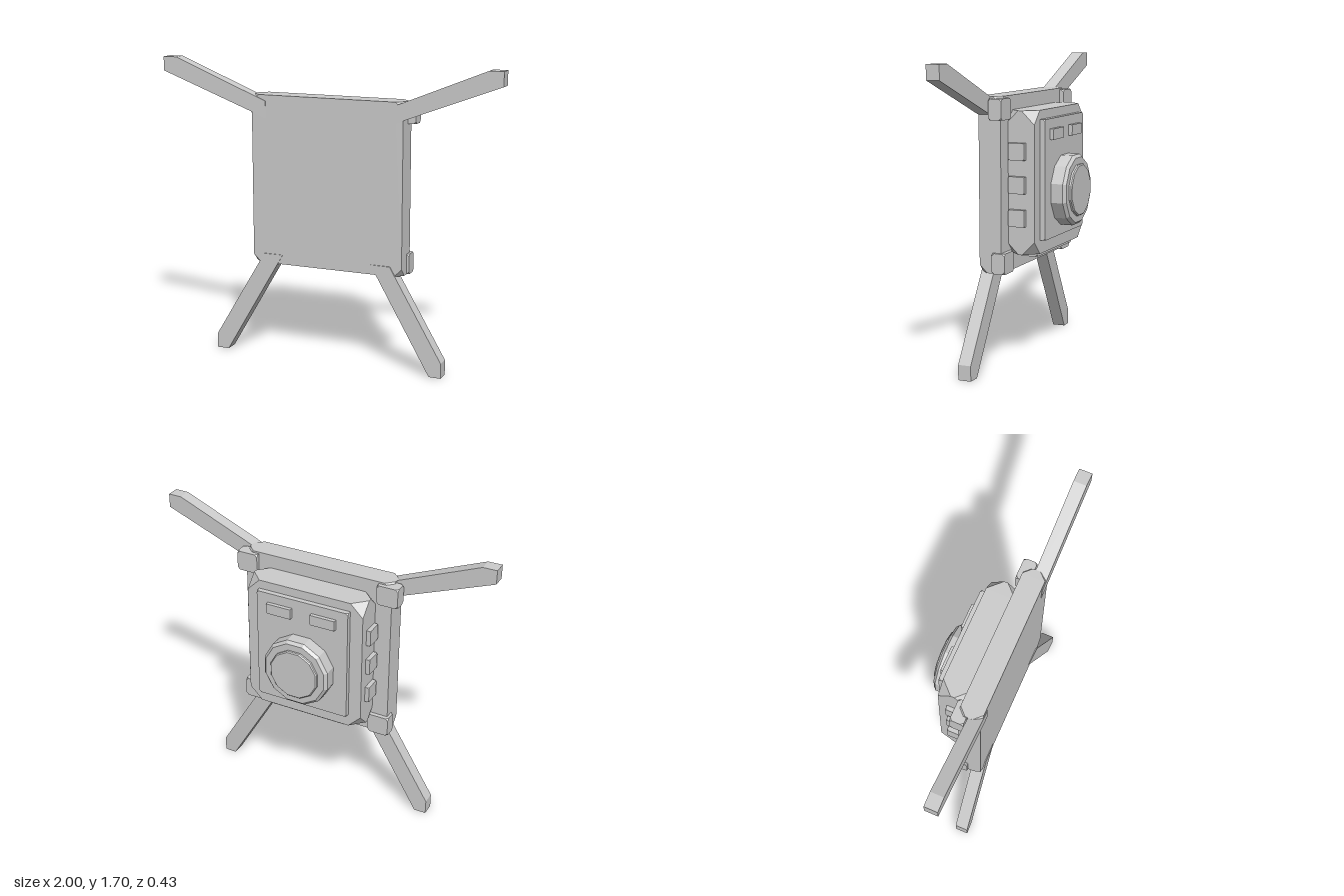
import * as THREE from 'three';
import { ConvexGeometry } from 'three/addons/geometries/ConvexGeometry.js';

const material = new THREE.MeshStandardMaterial({ color: 0xcccccc, flatShading: true });

export function createModel() {
  const model = new THREE.Group();
  const add = (name, geometry) => {
    const mesh = new THREE.Mesh(geometry, material);
    mesh.name = name;
    model.add(mesh);
    return mesh;
  };

  // Box between two corners, with its eight corners cut off by c
  const cutBox = (name, [x0, x1], [y0, y1], [z0, z1], c) => {
    const w = (x1 - x0) / 2, h = (y1 - y0) / 2, d = (z1 - z0) / 2;
    const points = [];
    for (const i of [-1, 1]) for (const j of [-1, 1]) for (const k of [-1, 1]) {
      points.push(
        new THREE.Vector3(i * (w - c), j * h, k * d),
        new THREE.Vector3(i * w, j * (h - c), k * d),
        new THREE.Vector3(i * w, j * h, k * (d - c)));
    }
    add(name, new ConvexGeometry(points)).position.set((x0 + x1) / 2, (y0 + y1) / 2, (z0 + z1) / 2);
  };

  // Flat strap outline, drawn for the +x side, leaning forward towards its tip
  const strap = (name, outline, side, rootX, tipX) => {
    const shape = new THREE.Shape(outline.map(([x, y]) => new THREE.Vector2(x * side, y)));
    const geometry = new THREE.ExtrudeGeometry(shape, { depth: 0.075, bevelEnabled: false });
    const p = geometry.attributes.position;
    for (let i = 0; i < p.count; i++) {
      const t = (Math.abs(p.getX(i)) - rootX) / (tipX - rootX);
      p.setZ(i, p.getZ(i) + 0.128 + 0.013 * t);
    }
    geometry.computeVertexNormals();
    add(name, geometry);
  };

  // Back plate and main body
  cutBox('plate', [-0.45, 0.45], [0.545, 1.51], [0.07, 0.2], 0.045);
  cutBox('body', [-0.355, 0.355], [0.64, 1.43], [-0.085, 0.085], 0.075);
  cutBox('backPanel', [-0.28, 0.28], [0.715, 1.38], [-0.115, -0.07], 0.012);
  cutBox('bottomBar', [-0.25, 0.25], [0.615, 0.66], [-0.055, 0.05], 0.012);

  for (const side of [-1, 1]) {
    const span = (a, b) => (side > 0 ? [a, b] : [-b, -a]);

    // Straps
    strap('upperStrap', [[0.365, 1.475], [0.365, 1.38], [1, 1.62], [1, 1.7], [0.92, 1.7]], side, 0.365, 1);
    strap('lowerStrap', [[0.268, 0.6], [0.62, 0], [0.69, 0], [0.69, 0.085], [0.382, 0.6]], side, 0.268, 0.69);

    // Corner clips
    cutBox('upperClip', span(0.37, 0.495), [1.385, 1.5], [0.045, 0.122], 0.015);
    cutBox('lowerClip', span(0.34, 0.465), [0.545, 0.66], [0.045, 0.122], 0.015);

    // Side buttons and the tabs above the dial
    for (const y of [0.845, 1.027, 1.21]) {
      cutBox('sideButton', span(0.33, 0.38), [y - 0.047, y + 0.047], [-0.035, 0.06], 0.008);
    }
    cutBox('tab', span(0.06, 0.21), [1.265, 1.325], [-0.137, -0.1], 0.006);
  }

  // Twelve-sided dial with a bevelled rim and a raised centre
  const turned = (name, profile) => {
    const points = profile.map(([r, h]) => new THREE.Vector2(r, h));
    const geometry = new THREE.LatheGeometry(points, 12, Math.PI / 12);
    geometry.rotateX(-Math.PI / 2);
    add(name, geometry).position.y = 0.967;
  };
  turned('dial', [[0, 0.1], [0.204, 0.1], [0.204, 0.185], [0.188, 0.201], [0, 0.201]]);
  turned('dialCentre', [[0, 0.19], [0.149, 0.19], [0.149, 0.212], [0.143, 0.218], [0, 0.218]]);

  return model;
}
